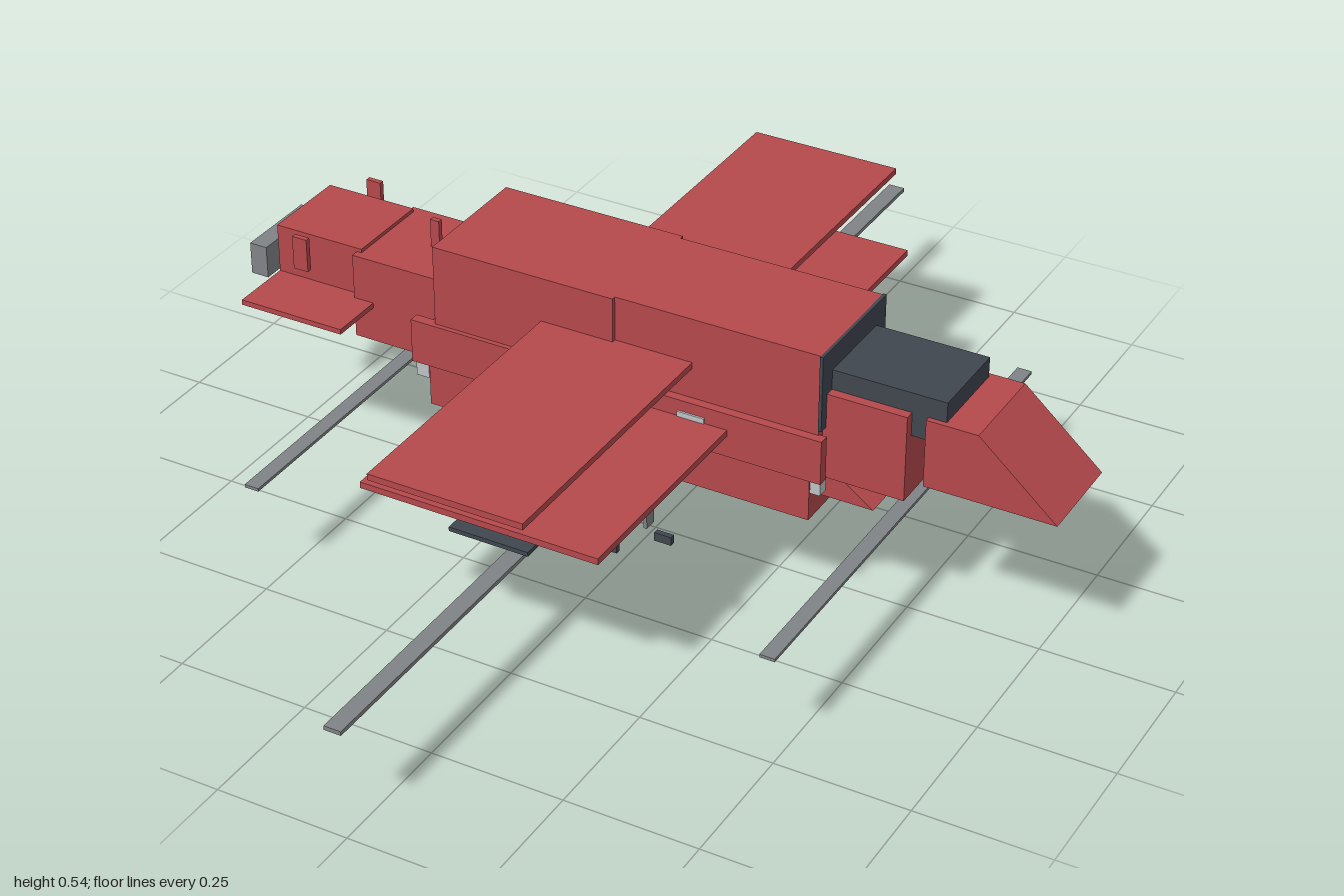
import * as THREE from 'three';

export function createModel() {
  const model = new THREE.Group();
  const mat = (name, color) => {
    const m = new THREE.MeshStandardMaterial({ color });
    m.name = name;
    return m;
  };
  const red = mat('red', 0xb5484c);
  const dark = mat('charcoal', 0x40464f);
  const gray = mat('gray', 0x808386);
  const light = mat('lightGray', 0xbfc2c4);

  // Box given by its limits on each axis
  function box(name, m, x0, x1, y0, y1, z0, z1) {
    const mesh = new THREE.Mesh(new THREE.BoxGeometry(x1 - x0, y1 - y0, z1 - z0), m);
    mesh.position.set((x0 + x1) / 2, (y0 + y1) / 2, (z0 + z1) / 2);
    mesh.name = name;
    model.add(mesh);
  }
  // Box mirrored across z
  function pair(name, m, x0, x1, y0, y1, z0, z1) {
    box(name + 'Front', m, x0, x1, y0, y1, z0, z1);
    box(name + 'Back', m, x0, x1, y0, y1, -z1, -z0);
  }
  // Side profile extruded across z
  function wedge(name, m, points, halfWidth) {
    const shape = new THREE.Shape(points.map(p => new THREE.Vector2(...p)));
    const g = new THREE.ExtrudeGeometry(shape, { depth: halfWidth * 2, bevelEnabled: false });
    g.translate(0, 0, -halfWidth);
    const mesh = new THREE.Mesh(g, m);
    mesh.name = name;
    model.add(mesh);
  }

  // Hull
  box('upperHullRear', red, -0.375, -0.015, 0.37, 0.535, -0.123, 0.123);
  box('upperHullFore', red, -0.015, 0.376, 0.37, 0.535, -0.115, 0.115);
  box('foreBulkhead', dark, 0.376, 0.382, 0.39, 0.535, -0.118, 0.118);
  box('lowerHull', red, -0.39, 0.365, 0.21, 0.375, -0.123, 0.123);
  pair('sideFlange', red, -0.42, 0.39, 0.295, 0.38, 0.112, 0.132);
  box('neck', red, 0.36, 0.53, 0.29, 0.455, -0.1, 0.1);
  wedge('chin', red, [[0.36, 0.245], [0.47, 0.245], [0.40, 0.295], [0.36, 0.295]], 0.09);

  // Cockpit and nose
  box('canopy', dark, 0.38, 0.593, 0.41, 0.493, -0.082, 0.082);
  wedge('nose', red, [[0.56, 0.325], [0.803, 0.325], [0.655, 0.455], [0.56, 0.455]], 0.092);
  box('noseSensor', light, 0.64, 0.665, 0.316, 0.325, -0.012, 0.012);

  // Tail
  box('tailRoot', red, -0.56, -0.375, 0.29, 0.455, -0.1, 0.1);
  box('tailBoom', red, -0.73, -0.55, 0.365, 0.462, -0.085, 0.085);
  box('tailPlane', red, -0.73, -0.52, 0.358, 0.368, -0.205, 0.205);
  box('tailTongue', red, -0.81, -0.55, 0.342, 0.36, -0.03, 0.03);
  box('tailBar', gray, -0.795, -0.76, 0.343, 0.405, -0.082, 0.082);
  pair('tailFin', red, -0.67, -0.64, 0.41, 0.475, 0.115, 0.125);
  box('mast', red, -0.455, -0.437, 0.455, 0.51, -0.005, 0.005);
  box('tailPod', dark, -0.487, -0.457, 0.257, 0.287, -0.02, 0.02);

  // Stacked wings with dark plates beneath
  pair('upperWing', red, -0.157, 0.135, 0.438, 0.45, 0.1, 0.668);
  pair('lowerWing', red, -0.242, 0.212, 0.336, 0.348, 0.1, 0.567);
  pair('upperWingPlate', dark, -0.06, 0.035, 0.413, 0.42, 0.11, 0.632);
  pair('lowerWingPlate', dark, -0.09, 0.062, 0.283, 0.291, 0.11, 0.537);
  pair('wingBlock', light, -0.02, 0.02, 0.375, 0.41, 0.32, 0.352);
  for (const [x, y, z] of [[-0.245, 0.263, 0.355], [0.215, 0.263, 0.355],
    [-0.163, 0.254, 0.407], [0.141, 0.254, 0.407]]) {
    pair('wingStud', dark, x - 0.016, x + 0.016, y - 0.008, y + 0.008, z - 0.005, z + 0.005);
  }

  // Small light fittings along the hull sides
  for (const [x, y, w] of [[-0.095, 0.354, 0.022], [0.143, 0.354, 0.026],
    [-0.08, 0.324, 0.02], [0.11, 0.324, 0.02]]) {
    pair('hullFitting', light, x - w, x + w, y - 0.005, y + 0.005, 0.125, 0.136);
  }
  pair('foreFitting', light, 0.366, 0.385, 0.265, 0.293, 0.1, 0.122);
  pair('rearFitting', light, -0.418, -0.392, 0.262, 0.29, 0.1, 0.122);

  // Crosswise rods and the leg
  box('mainRod', gray, -0.032, 0, 0.204, 0.212, -1, 1);
  for (const x of [-0.516, 0.485]) {
    box('sideRod', gray, x - 0.014, x + 0.014, 0.204, 0.21, -0.5, 0.5);
  }
  box('legMount', dark, -0.038, 0.008, 0.195, 0.205, -0.022, 0.022);
  box('leg', gray, -0.018, -0.011, 0, 0.2, -0.013, 0.013);

  return model;
}
